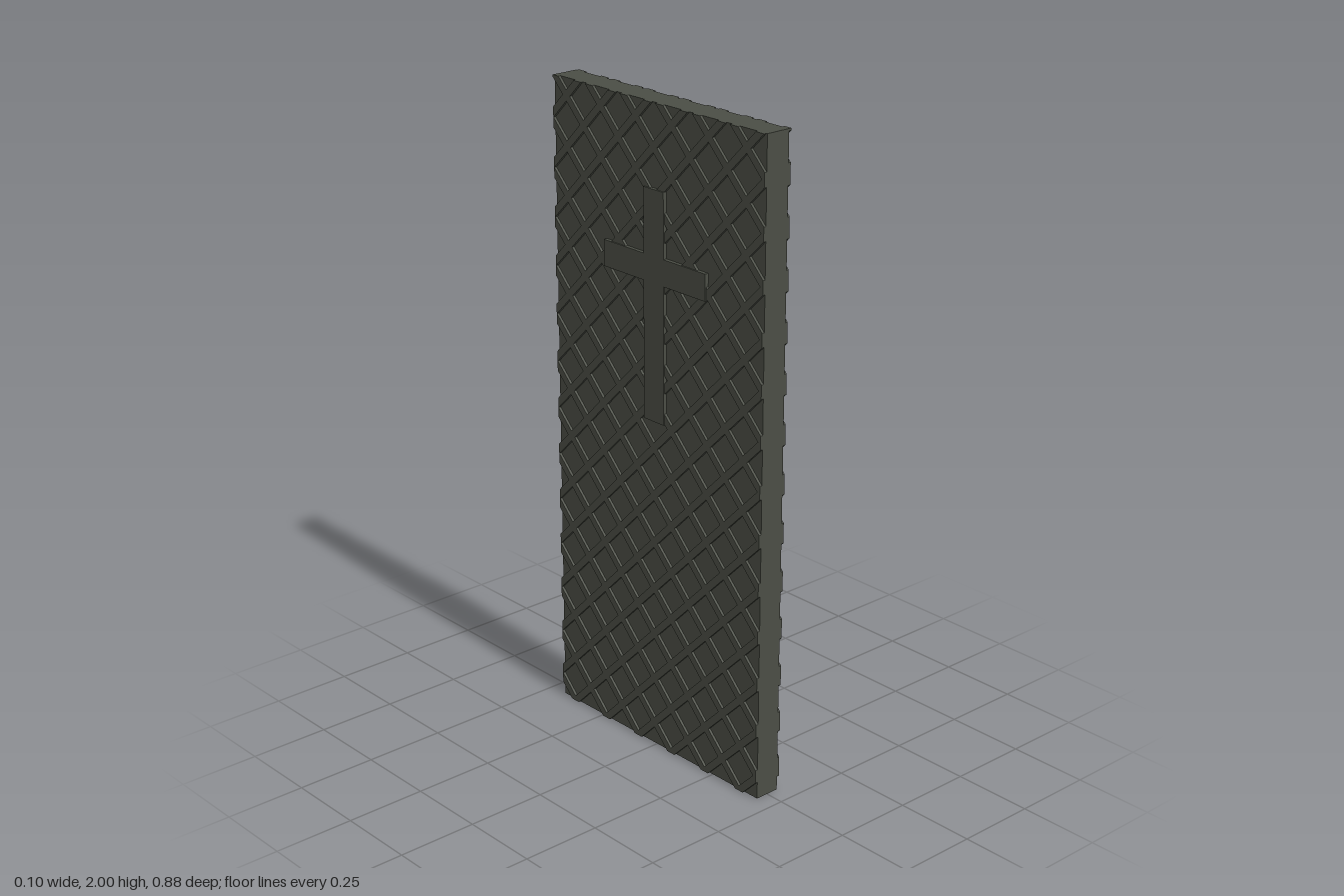
import * as THREE from 'three';

const W = 0.44, H = 2, CORE = 0.04;

// Cut a convex polygon to the panel outline
function clipToPanel(points) {
  const planes = [
    (p) => p.x + W, (p) => W - p.x,
    (p) => p.y, (p) => H - p.y,
  ];
  for (const dist of planes) {
    const out = [];
    points.forEach((a, i) => {
      const b = points[(i + 1) % points.length];
      const da = dist(a), db = dist(b);
      if (da >= 0) out.push(a);
      if (da * db < 0) out.push(a.clone().lerp(b, da / (da - db)));
    });
    points = out;
  }
  return points;
}

function plate(name, points, depth, material) {
  const geometry = new THREE.ExtrudeGeometry(new THREE.Shape(points), { depth, bevelEnabled: false });
  const mesh = new THREE.Mesh(geometry, material);
  mesh.name = name;
  return mesh;
}

// One decorated face: diagonal lattice with a raised cross
function makeFace(name, material) {
  const face = new THREE.Group();
  face.name = name;
  const pitch = 0.15, half = 0.016;
  for (const slope of [1, -1]) {
    for (let k = -18; k <= 18; k++) {
      const z0 = 0.07 + k * pitch;
      const strip = [
        new THREE.Vector2(z0 - half, 0), new THREE.Vector2(z0 + half, 0),
        new THREE.Vector2(z0 + half + slope * H, H), new THREE.Vector2(z0 - half + slope * H, H),
      ];
      const points = clipToPanel(strip);
      if (points.length > 2) face.add(plate('latticeBar', points, 0.008, material));
    }
  }
  const a = 0.042, b = 0.215;
  const outline = [
    [-a, 1.06], [a, 1.06], [a, 1.48], [b, 1.48], [b, 1.56], [a, 1.56],
    [a, 1.755], [-a, 1.755], [-a, 1.56], [-b, 1.56], [-b, 1.48], [-a, 1.48],
  ].map(([x, y]) => new THREE.Vector2(x, y));
  face.add(plate('cross', outline, 0.012, material));
  return face;
}

export function createModel() {
  const model = new THREE.Group();
  model.name = 'latticePanel';
  const stone = new THREE.MeshStandardMaterial({ color: 0x4b4e45 });
  stone.name = 'darkStone';

  // Core slab
  const slab = new THREE.Mesh(new THREE.BoxGeometry(CORE * 2, H, W * 2), stone);
  slab.name = 'slab';
  slab.position.y = H / 2;
  model.add(slab);

  // Matching relief on both broad sides
  for (const side of [1, -1]) {
    const face = makeFace(side > 0 ? 'leftFace' : 'rightFace', stone);
    face.rotation.y = side * Math.PI / 2;
    face.position.x = side * CORE;
    model.add(face);
  }
  return model;
}
